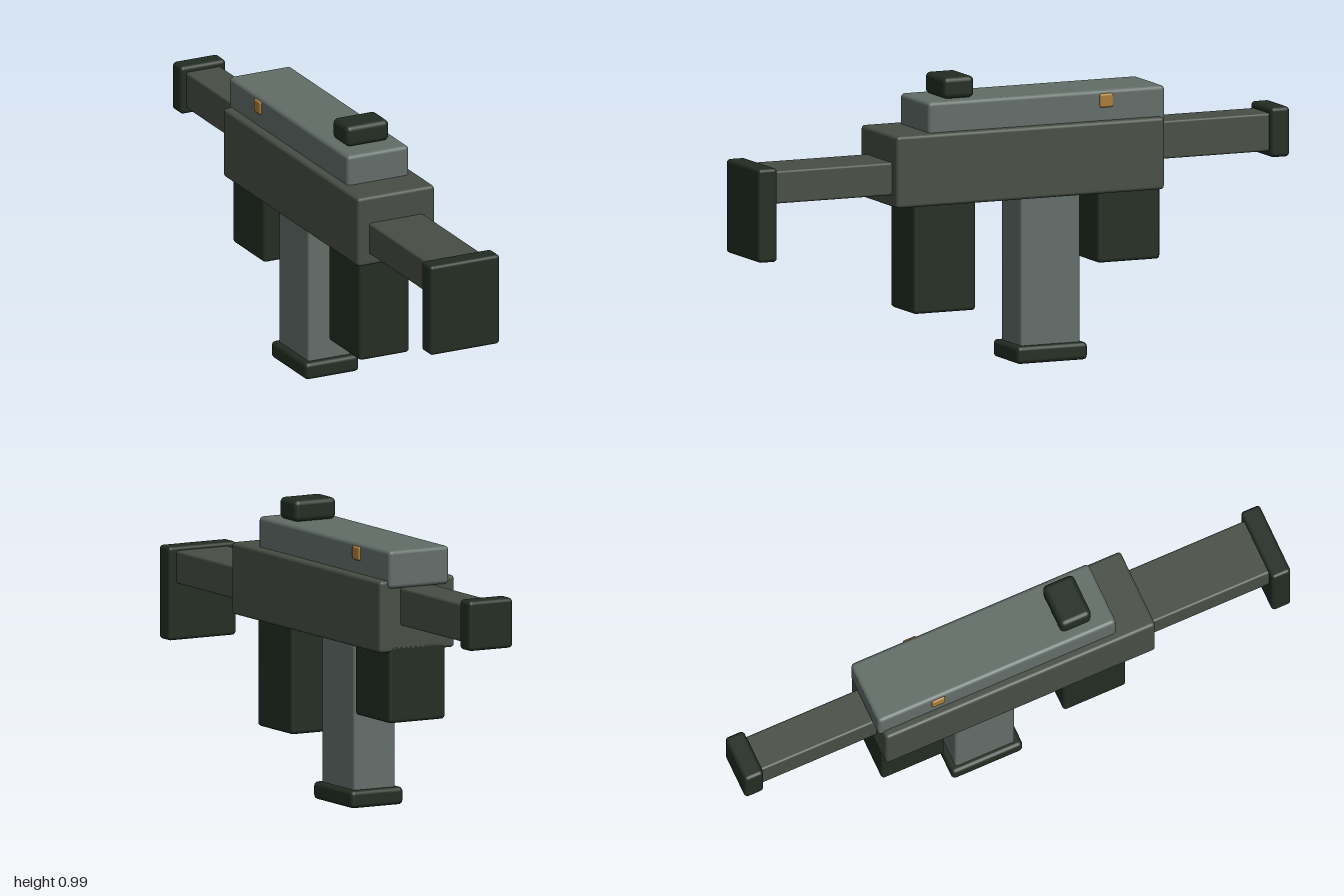
import * as THREE from 'three';
import { RoundedBoxGeometry } from 'three/addons/geometries/RoundedBoxGeometry.js';

const material = (name, color) => {
  const m = new THREE.MeshStandardMaterial({ color });
  m.name = name;
  return m;
};

export function createModel() {
  const group = new THREE.Group();
  group.name = 'blockBlaster';
  const dark = material('blackGreen', 0x222c22);
  const olive = material('oliveGrey', 0x474e45);
  const steel = material('steelGrey', 0x626d68);
  const brass = material('brass', 0xa87c38);

  // Softly bevelled block spanning the given x, y and z ranges
  const block = (name, mat, [x0, x1], [y0, y1], [z0, z1], bevel = 0.01) => {
    const geometry = new RoundedBoxGeometry(x1 - x0, y1 - y0, z1 - z0, 3, bevel);
    const mesh = new THREE.Mesh(geometry, mat);
    mesh.name = name;
    mesh.position.set((x0 + x1) / 2, (y0 + y1) / 2, (z0 + z1) / 2);
    group.add(mesh);
  };
  const wide = (half) => [-half, half];

  // Receiver, top cover and sight
  block('receiver', olive, wide(0.146), [0.57, 0.816], [-0.505, 0.492], 0.012);
  block('topCover', steel, wide(0.117), [0.79, 0.92], [-0.52, 0.36], 0.014);
  block('sight', dark, wide(0.081), [0.92, 0.994], [0.172, 0.286], 0.018);

  // Brass pins on both sides of the cover
  for (const side of [-1, 1]) {
    const x = side * 0.109;
    block(side > 0 ? 'leftPin' : 'rightPin', brass,
      [x - 0.015, x + 0.015], [0.86, 0.908], [-0.325, -0.275], 0.008);
  }

  // Stock with its butt plate
  block('stock', olive, wide(0.103), [0.61, 0.722], [0.45, 0.95], 0.008);
  block('buttPlate', dark, wide(0.132), [0.416, 0.736], [0.93, 1], 0.012);

  // Barrel with its end block
  block('barrel', olive, wide(0.066), [0.66, 0.79], [-0.95, -0.46], 0.008);
  block('muzzle', dark, wide(0.086), [0.64, 0.811], [-1, -0.93], 0.014);

  // Grips under the receiver
  block('rearGrip', dark, wide(0.095), [0.196, 0.6], [0.174, 0.405], 0.012);
  block('foreGrip', dark, wide(0.11), [0.328, 0.6], [-0.505, -0.273], 0.012);

  // Magazine with its foot
  block('magazine', steel, wide(0.081), [0.03, 0.6], [-0.22, 0], 0.01);
  block('magazineFoot', dark, wide(0.102), [0, 0.06], [-0.24, 0.022], 0.015);

  return group;
}
